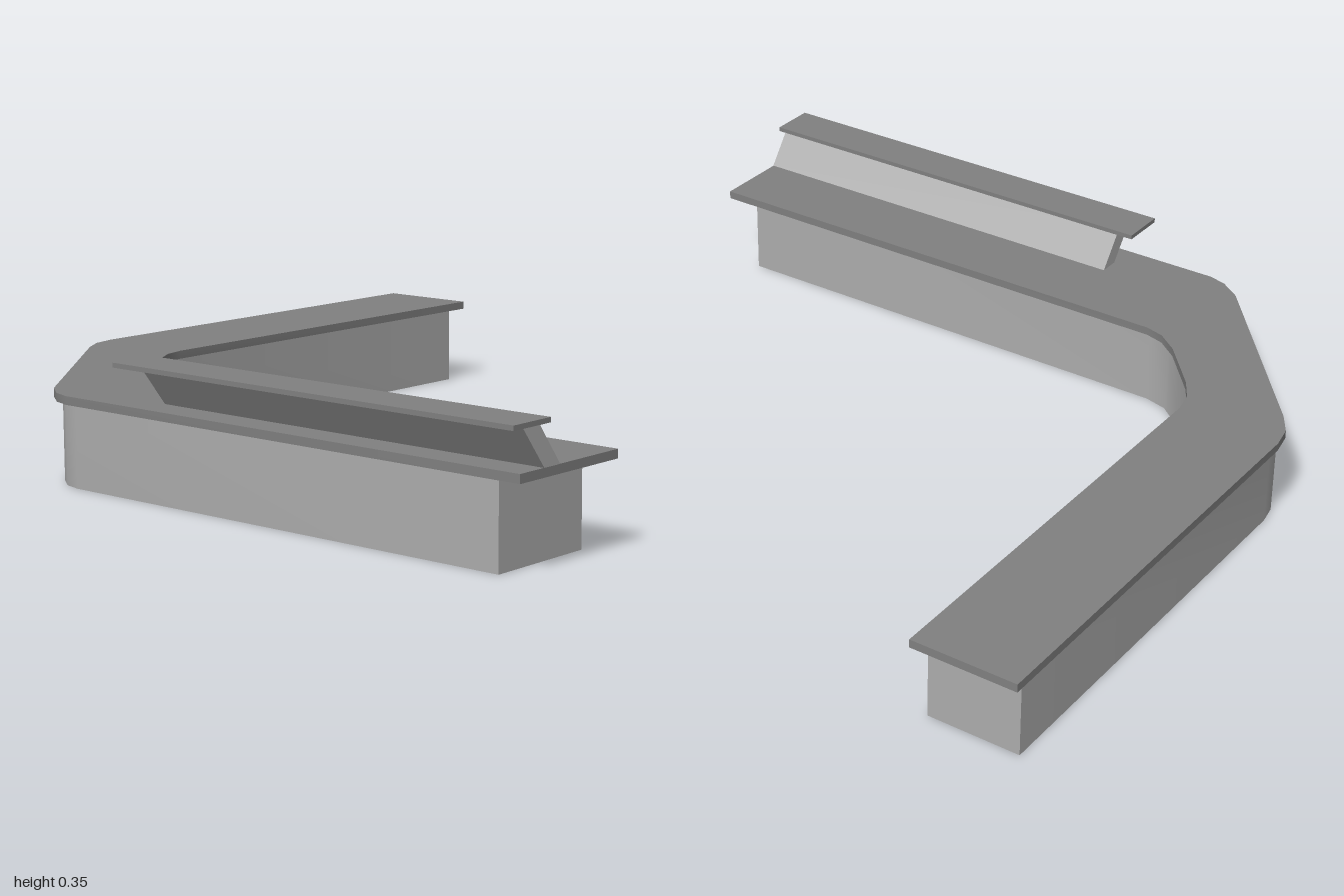
import * as THREE from 'three';
import { toCreasedNormals } from 'three/addons/utils/BufferGeometryUtils.js';

const panelMaterial = new THREE.MeshStandardMaterial({ color: 0xadadad });
const topMaterial = new THREE.MeshStandardMaterial({ color: 0x808080 });

// Solid from a plan outline of [x, z] points, standing between two heights
function slab(name, material, plan, y0, y1) {
  const shape = new THREE.Shape(plan.map(([x, z]) => new THREE.Vector2(x, -z)));
  const geometry = new THREE.ExtrudeGeometry(shape, { depth: y1 - y0, bevelEnabled: false });
  geometry.rotateX(-Math.PI / 2).translate(0, y0, 0);
  const mesh = new THREE.Mesh(toCreasedNormals(geometry, 0.6), material);
  mesh.name = name;
  return mesh;
}

// L-shaped plan: outer bend and inner bend joined by the two square ends
function counterPlan(endX, endZ, outer, inner) {
  return [
    [endX, outer[0][1]], ...outer, [outer[outer.length - 1][0], endZ],
    [inner[inner.length - 1][0], endZ], ...[...inner].reverse(), [endX, inner[0][1]],
  ];
}

export function createModel() {
  const group = new THREE.Group();
  group.name = 'counter';

  // Base cabinet, set back under the top
  group.add(slab('counterBase', panelMaterial, counterPlan(0.905, 0.915,
    [[-0.25, -0.98], [-0.305, -0.97], [-0.36, -0.935], [-0.85, -0.53], [-0.886, -0.48], [-0.898, -0.43]],
    [[-0.27, -0.73], [-0.33, -0.717], [-0.39, -0.68], [-0.53, -0.56], [-0.583, -0.495], [-0.6, -0.43]],
  ), 0, 0.216));

  // Overhanging worktop
  group.add(slab('counterTop', topMaterial, counterPlan(0.955, 0.994,
    [[-0.25, -1], [-0.315, -0.988], [-0.375, -0.95], [-0.868, -0.543], [-0.91, -0.485], [-0.925, -0.435]],
    [[-0.26, -0.713], [-0.32, -0.7], [-0.38, -0.663], [-0.512, -0.548], [-0.558, -0.488], [-0.573, -0.435]],
  ), 0.216, 0.238));

  // Leaning support panel, its slanted section run along z
  const section = new THREE.Shape([[-0.842, 0.238], [-0.786, 0.238], [-0.86, 0.337], [-0.918, 0.337]]
    .map(([x, y]) => new THREE.Vector2(x, y)));
  const support = new THREE.Mesh(
    new THREE.ExtrudeGeometry(section, { depth: 1.165, bevelEnabled: false }).translate(0, 0, -0.17), panelMaterial);
  support.name = 'shelfSupport';
  group.add(support);

  // Raised narrow shelf
  const shelf = new THREE.Mesh(new THREE.BoxGeometry(0.128, 0.012, 1.23), topMaterial);
  shelf.name = 'raisedShelf';
  shelf.position.set(-0.891, 0.342, 0.385);
  group.add(shelf);

  return group;
}
